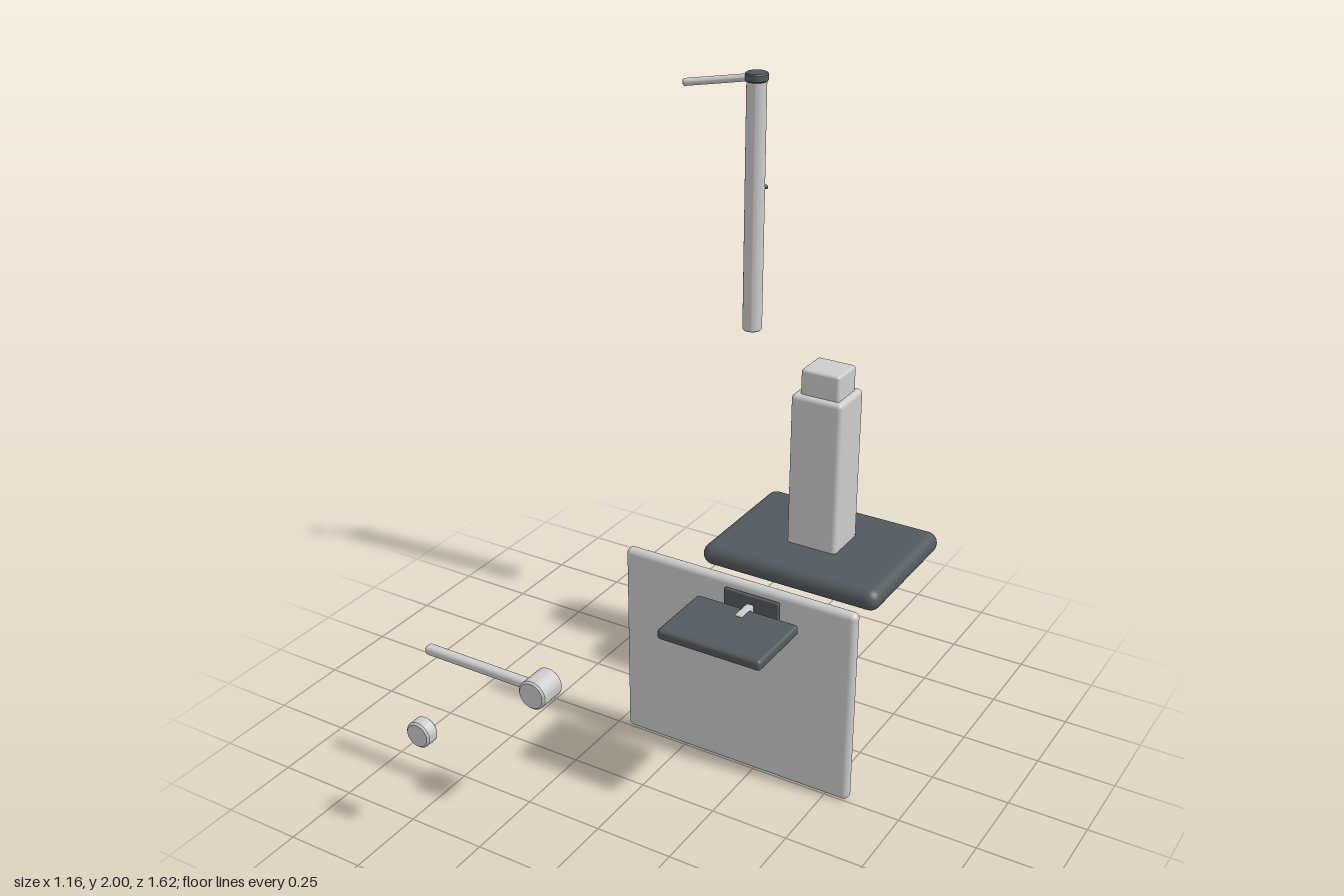
import * as THREE from 'three';
import { RoundedBoxGeometry } from 'three/addons/geometries/RoundedBoxGeometry.js';
import { toCreasedNormals } from 'three/addons/utils/BufferGeometryUtils.js';

const light = new THREE.MeshStandardMaterial({ color: 0xcccccc });
const dark = new THREE.MeshStandardMaterial({ color: 0x52595d });

// Rounded block given by its min and max on each axis
function block(name, [x0, x1], [y0, y1], [z0, z1], radius, material) {
  const mesh = new THREE.Mesh(new RoundedBoxGeometry(x1 - x0, y1 - y0, z1 - z0, 4, radius), material);
  mesh.name = name;
  mesh.position.set((x0 + x1) / 2, (y0 + y1) / 2, (z0 + z1) / 2);
  return mesh;
}

// Solid rod with bevelled rims running from point a to point b
function rod(name, a, b, r, bevel, material) {
  const from = new THREE.Vector3(...a), to = new THREE.Vector3(...b);
  const h = from.distanceTo(to) / 2;
  const profile = [[0, -h], [r - bevel, -h], [r, -h + bevel], [r, h - bevel], [r - bevel, h], [0, h]]
    .map(([x, y]) => new THREE.Vector2(x, y));
  const mesh = new THREE.Mesh(toCreasedNormals(new THREE.LatheGeometry(profile, 40), 0.6), material);
  mesh.name = name;
  mesh.position.copy(from).add(to).multiplyScalar(0.5);
  mesh.quaternion.setFromUnitVectors(new THREE.Vector3(0, 1, 0), to.sub(from).normalize());
  return mesh;
}

function group(name, ...parts) {
  const g = new THREE.Group();
  g.name = name;
  g.add(...parts);
  return g;
}

export function createModel() {
  // Upright tube with cap, side lever and a small pin
  const px = -0.164, pz = -0.696;
  const pole = group('pole',
    rod('poleTube', [px, 1.16, pz], [px, 1.978, pz], 0.032, 0.003, light),
    rod('poleCap', [px, 1.973, pz], [px, 2, pz], 0.037, 0.004, dark),
    rod('poleLever', [px, 1.986, pz], [-0.382, 1.957, -0.623], 0.012, 0.002, light),
    rod('polePin', [px + 0.015, 1.636, pz - 0.015], [px + 0.029, 1.636, pz - 0.029], 0.007, 0.001, dark));

  // Weighted foot with a telescoping column
  const stand = group('stand',
    block('standBase', [-0.136, 0.495], [0.469, 0.543], [-0.812, -0.32], 0.036, dark),
    block('lowerColumn', [0.091, 0.268], [0.53, 1.066], [-0.647, -0.487], 0.015, light),
    block('upperColumn', [0.115, 0.249], [1.03, 1.15], [-0.626, -0.506], 0.01, light));

  // Flat panel with dark face on the back, and a mounted tray on the front
  const panel = group('panel',
    block('panelShell', [-0.213, 0.577], [0.005, 0.662], [-0.036, 0.003], 0.018, light),
    block('panelFace', [-0.195, 0.556], [0.022, 0.643], [-0.046, -0.028], 0.006, dark));
  const tray = group('tray',
    block('mountPlate', [0.147, 0.333], [0.549, 0.638], [0.006, 0.019], 0.004, dark),
    block('mountStem', [0.226, 0.25], [0.575, 0.608], [0.008, 0.09], 0.004, light),
    block('trayTop', [0.068, 0.413], [0.568, 0.603], [0.036, 0.274], 0.012, dark),
    block('trayUnderside', [0.088, 0.393], [0.561, 0.58], [0.05, 0.255], 0.004, dark));

  // Arm with a round hub, and a loose knob
  const crank = group('crank',
    rod('crankHub', [-0.164, 0.466, 0.487], [-0.164, 0.466, 0.582], 0.046, 0.006, light),
    block('crankArm', [-0.583, -0.18], [0.448, 0.479], [0.514, 0.547], 0.012, light));
  const knob = rod('knob', [-0.403, 0.379, 0.764], [-0.403, 0.379, 0.81], 0.041, 0.006, light);

  return group('model', pole, stand, panel, tray, crank, knob);
}
